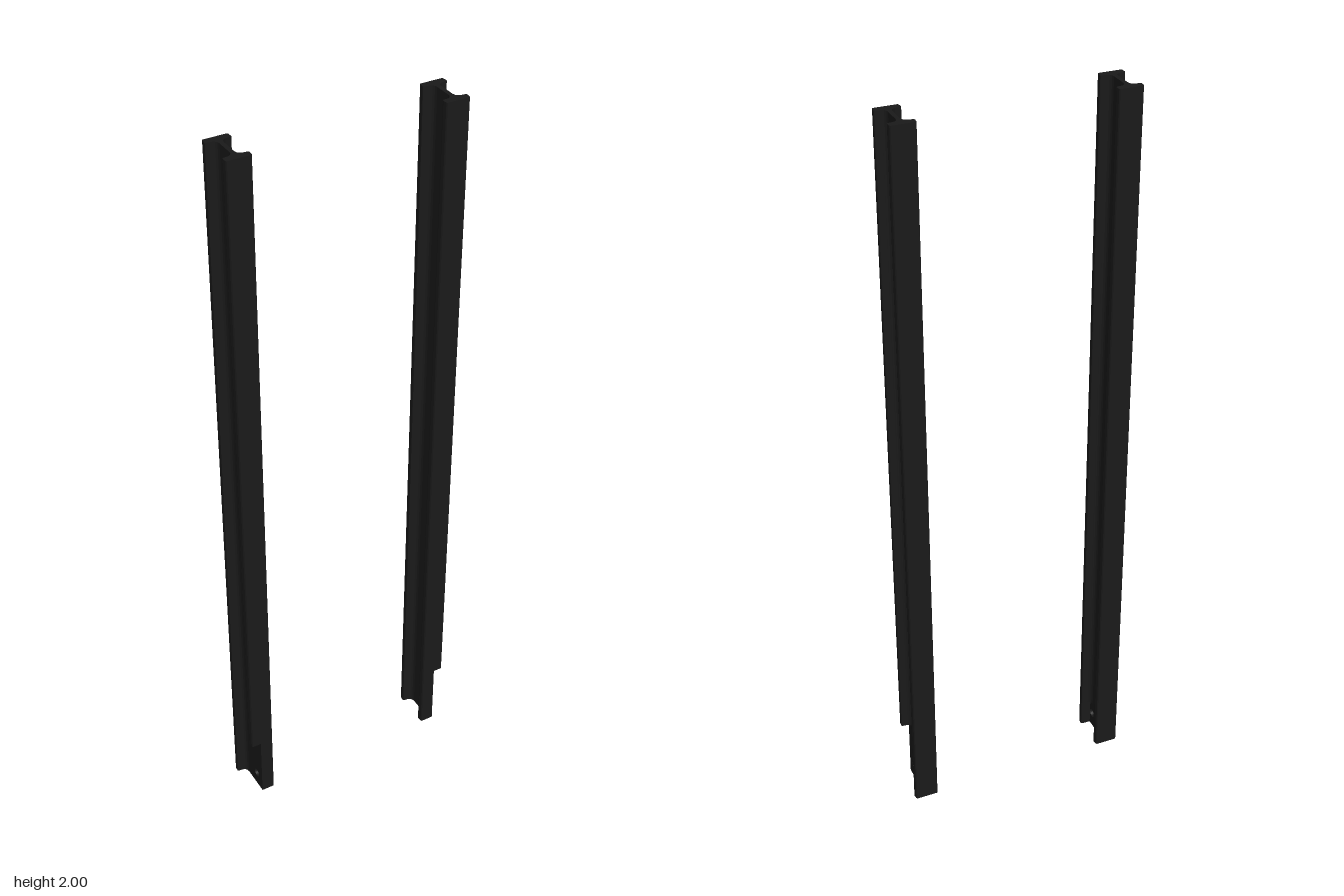
import * as THREE from 'three';

const steel = new THREE.MeshStandardMaterial({ color: 0x1a1a1a });
const HEIGHT = 2, NOTCH = 0.19, FOOT = 0.08; // beam top, notch top, drilled foot top
const WEB = 0.0055, DEPTH = 0.059;           // half web thickness, half beam depth

// Quarter outlines, from the web to the outer flange face: [x, z]
const flange = [[0.03, 0.0405], [0.0325, 0.042], [0.033, 0.045], [0.032, 0.056], [0.03, DEPTH]];
const filleted = [[WEB, 0.024], [0.007, 0.031], [0.0105, 0.036], [0.016, 0.039], ...flange];
const square = [[WEB, 0.0395], ...flange];
const cutAway = [[WEB, DEPTH]];

const place = (quarter, sx, sz) => quarter.map(([x, z]) => new THREE.Vector2(x * sx, -z * sz));

// Extrude a plan outline upward from y0 to y1
function upright(name, points, y0, y1) {
  const geo = new THREE.ExtrudeGeometry(new THREE.Shape(points), { depth: y1 - y0, bevelEnabled: false });
  geo.rotateX(-Math.PI / 2).translate(0, y0, 0);
  const mesh = new THREE.Mesh(geo, steel);
  mesh.name = name;
  return mesh;
}

// Whole I section; the front outer quarter may be cut away
function iSection(outer, frontOuter) {
  return [
    ...place(frontOuter, outer, 1),
    ...place(filleted, -outer, 1).reverse(),
    ...place(filleted, -outer, -1),
    ...place(filleted, outer, -1).reverse(),
  ];
}

// Web plate of the foot with its bolt hole
function drilledWeb() {
  const shape = new THREE.Shape();
  shape.moveTo(-0.024, 0).lineTo(DEPTH, 0).lineTo(DEPTH, FOOT).lineTo(-0.024, FOOT).closePath();
  shape.holes.push(new THREE.Path().absarc(0.027, 0.043, 0.0125, 0, Math.PI * 2, true));
  const geo = new THREE.ExtrudeGeometry(shape, { depth: WEB * 2, bevelEnabled: false, curveSegments: 16 });
  geo.rotateY(-Math.PI / 2).translate(WEB, 0, 0);
  const mesh = new THREE.Mesh(geo, steel);
  mesh.name = 'drilledWeb';
  return mesh;
}

function beam(name, outer) {
  const group = new THREE.Group();
  group.name = name;
  group.add(
    upright('shaft', iSection(outer, filleted), NOTCH, HEIGHT),
    upright('notchedShaft', iSection(outer, cutAway), FOOT, NOTCH),
    upright('footBackFlange', [...place(filleted, 1, -1), ...place(filleted, -1, -1).reverse()], 0, FOOT),
    upright('footFrontFlange', [...place(square, -outer, 1), ...place(cutAway, -outer, 1)], 0, FOOT),
    drilledWeb(),
  );
  return group;
}

export function createModel() {
  const model = new THREE.Group();
  model.name = 'beamPair';
  const left = beam('leftBeam', 1);
  left.position.set(0.282, 0, -0.002);
  const right = beam('rightBeam', -1);
  right.position.set(-0.282, 0, 0.0005);
  model.add(left, right);
  return model;
}
